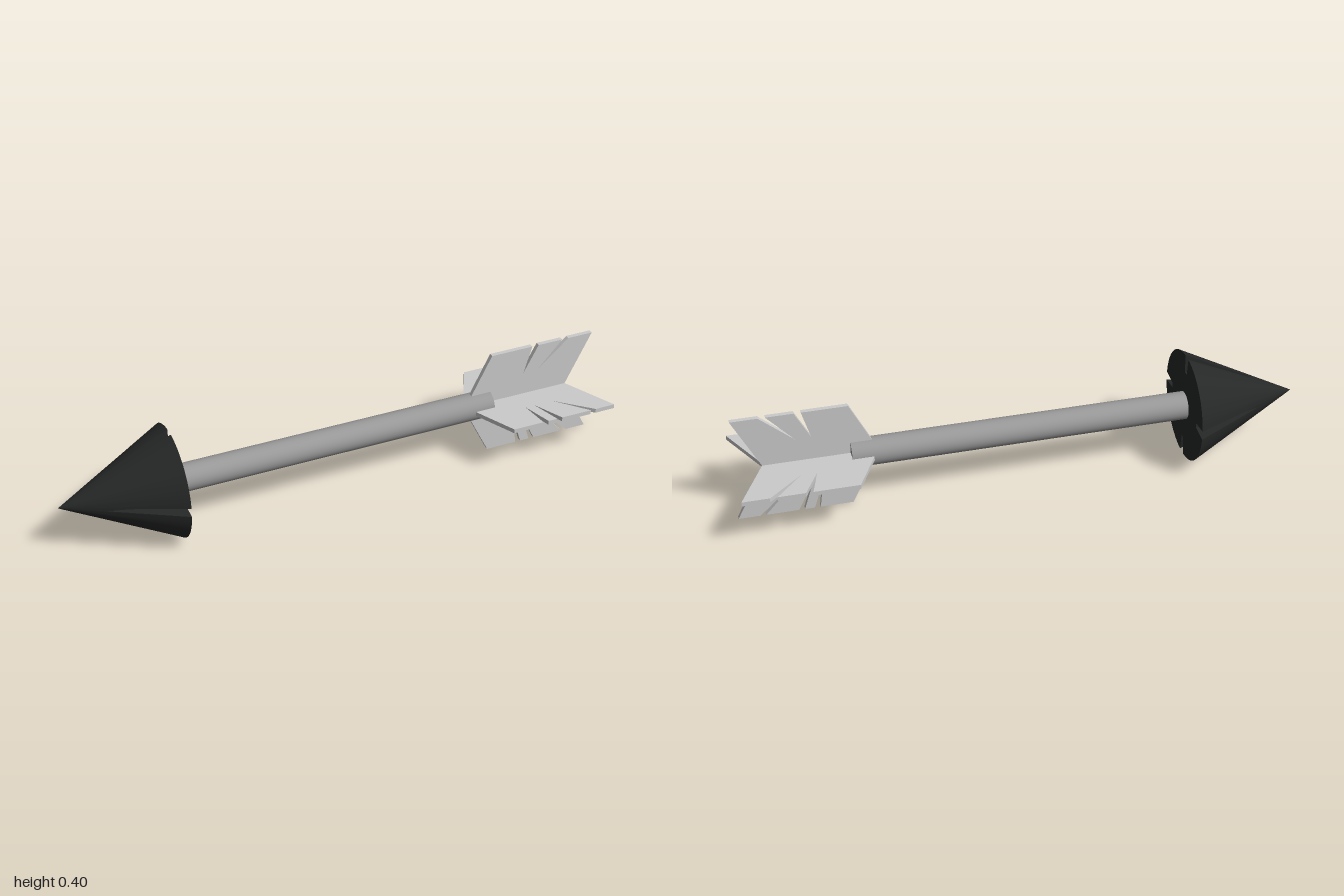
import * as THREE from 'three';
import { toCreasedNormals } from 'three/addons/utils/BufferGeometryUtils.js';

const AXIS_Y = 0.2; // height of the arrow's axis
const ARC_STEPS = 16; // cone facets per quadrant

// Ring of [y, z] points: a circle with four slots cut at the quadrant lines
function slottedRing(radius, floor, rimHalf, floorHalf) {
  const ring = [];
  for (let q = 0; q < 4; q++) {
    const turn = q * Math.PI / 2;
    const add = (r, a) => ring.push([r * Math.cos(turn + a), r * Math.sin(turn + a)]);
    const edge = radius ? Math.asin(rimHalf / radius) : 0;
    const inner = floor ? Math.asin(floorHalf / floor) : 0;
    add(floor, -inner);
    add(floor, inner);
    for (let i = 0; i <= ARC_STEPS; i++) {
      add(radius, edge + (Math.PI / 2 - 2 * edge) * i / ARC_STEPS);
    }
  }
  return ring;
}

// Cone pointing to -x whose slots deepen and widen towards the base
function headGeometry() {
  const sections = [
    [-0.85, slottedRing(0.075, 0.075, 0.005, 0.003)],
    [-0.6, slottedRing(0.2, 0.133, 0.017, 0.009)],
  ];
  const [[x0, front], [x1, back]] = sections;
  const n = front.length;
  const pos = [];
  const tri = (...pts) => pts.forEach((p) => pos.push(...p));
  for (let j = 0; j < n; j++) {
    const k = (j + 1) % n;
    const a = [x0, ...front[j]], b = [x0, ...front[k]];
    const c = [x1, ...back[j]], d = [x1, ...back[k]];
    tri([-1, 0, 0], b, a); // tip
    tri(a, b, c); // flank
    tri(b, d, c);
    tri([x1, 0, 0], c, d); // base
  }
  // tip triangles face outward
  for (let t = 0; t < pos.length; t += 36) {
    for (let i = 0; i < 3; i++) {
      [pos[t + 3 + i], pos[t + 6 + i]] = [pos[t + 6 + i], pos[t + 3 + i]];
    }
    // winding check against the axis
    const A = new THREE.Vector3().fromArray(pos, t);
    const B = new THREE.Vector3().fromArray(pos, t + 3);
    const C = new THREE.Vector3().fromArray(pos, t + 6);
    const normal = B.clone().sub(A).cross(C.clone().sub(A));
    if (normal.y * (B.y + C.y) + normal.z * (B.z + C.z) < 0) {
      for (let i = 0; i < 3; i++) {
        [pos[t + 3 + i], pos[t + 6 + i]] = [pos[t + 6 + i], pos[t + 3 + i]];
      }
    }
  }
  const geo = new THREE.BufferGeometry();
  geo.setAttribute('position', new THREE.Float32BufferAttribute(pos, 3));
  return toCreasedNormals(geo, 0.5);
}

// Slanted vane with thin slits: each is [rim start, rim end, tip x, tip height]
function vaneGeometry(slits, side) {
  const pts = [[0.5, 0], [0.6, 0.2]];
  for (const [start, end, tipX, tipY] of slits) {
    pts.push([start, 0.2], [tipX, tipY], [end, 0.2]);
  }
  pts.push([1, 0.2], [0.9, 0]);
  const shape = new THREE.Shape(pts.map(([x, y]) => new THREE.Vector2(x, y * side)));
  const geo = new THREE.ExtrudeGeometry(shape, { depth: 0.016, bevelEnabled: false });
  return geo.translate(0, 0, -0.008);
}

export function createModel() {
  const arrow = new THREE.Group();
  arrow.name = 'arrow';
  const paint = (color) => new THREE.MeshStandardMaterial({ color });
  const add = (name, geometry, material) => {
    const mesh = new THREE.Mesh(geometry, material);
    mesh.name = name;
    mesh.position.y = AXIS_Y;
    arrow.add(mesh);
    return mesh;
  };

  add('arrowHead', headGeometry(), paint(0x262827));

  const shaft = new THREE.CylinderGeometry(0.05, 0.05, 1.2, 32).rotateZ(Math.PI / 2);
  add('shaft', shaft, paint(0x999999));

  // Fletching: an upper and lower vane, repeated a quarter turn round the shaft
  const feather = paint(0xcccccc);
  const twoSlits = vaneGeometry([[0.76, 0.785, 0.73, 0.095], [0.88, 0.905, 0.785, 0.095]], 1);
  const threeSlits = vaneGeometry([
    [0.715, 0.735, 0.7, 0.09], [0.77, 0.79, 0.735, 0.09], [0.905, 0.925, 0.805, 0.09],
  ], -1);
  for (const [label, turn] of [['vertical', 0], ['horizontal', -Math.PI / 2]]) {
    add(label + 'VaneTwoSlits', twoSlits, feather).rotation.x = turn;
    add(label + 'VaneThreeSlits', threeSlits, feather).rotation.x = turn;
  }
  return arrow;
}
